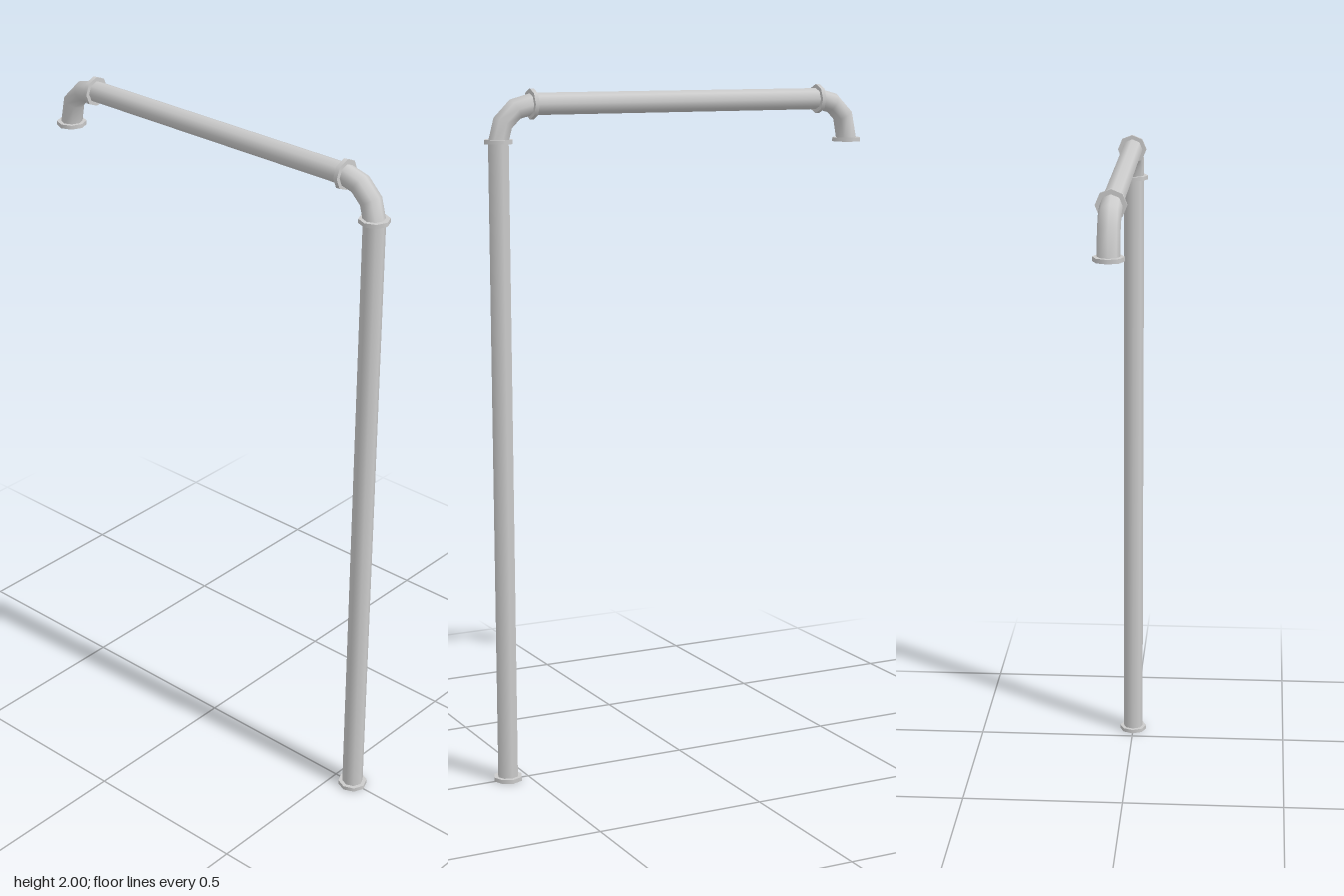
import * as THREE from 'three';

const SIDES = 8, PIPE_R = 0.031, FLANGE_R = 0.043, FLANGE_T = 0.012;
const BEND = 0.102;                       // elbow centreline radius
const LEG_Z = 0.564, TOP_Y = 1.957;       // pipe axes
const END_Z = LEG_Z - BEND, BEND_Y = TOP_Y - BEND;

export function createModel() {
  const group = new THREE.Group();
  const material = new THREE.MeshStandardMaterial({ color: 0xcccccc });

  const add = (name, geometry) => {
    const mesh = new THREE.Mesh(geometry, material);
    mesh.name = name;
    group.add(mesh);
    return mesh;
  };

  // Straight octagonal cylinder, upright or lying along z
  const cylinder = (name, radius, length, y, z, lying) => {
    const mesh = add(name, new THREE.CylinderGeometry(radius, radius, length, SIDES));
    mesh.position.set(0, y, z);
    if (lying) mesh.rotation.x = Math.PI / 2;
  };
  const flange = (name, y, z, lying) => cylinder(name, FLANGE_R, FLANGE_T, y, z, lying);

  // Quarter bend of three segments from horizontal to downward; drop lengthens its lower end
  const elbow = (name, dir, drop) => {
    const segments = 3, positions = [], index = [];
    for (let i = 0; i <= segments; i++) {
      const a = (i / segments) * Math.PI / 2;
      for (let j = 0; j <= SIDES; j++) {
        const t = (j / SIDES) * Math.PI * 2;
        const r = BEND + PIPE_R * Math.cos(t);
        const y = BEND_Y + r * Math.cos(a) - (i === segments ? drop : 0);
        positions.push(dir * PIPE_R * Math.sin(t), y, dir * (END_Z + r * Math.sin(a)));
      }
    }
    const row = SIDES + 1;
    for (let i = 0; i < segments; i++) {
      for (let j = 0; j < SIDES; j++) {
        const p = i * row + j;
        index.push(p, p + row, p + 1, p + 1, p + row, p + row + 1);
      }
    }
    const geometry = new THREE.BufferGeometry();
    geometry.setAttribute('position', new THREE.Float32BufferAttribute(positions, 3));
    geometry.setIndex(index);
    geometry.computeVertexNormals();
    // Share normals across the seam
    const n = geometry.attributes.normal;
    for (let i = 0; i <= segments; i++) {
      const a = i * row, b = a + SIDES;
      const v = new THREE.Vector3().fromBufferAttribute(n, a)
        .add(new THREE.Vector3().fromBufferAttribute(n, b)).normalize();
      n.setXYZ(a, v.x, v.y, v.z);
      n.setXYZ(b, v.x, v.y, v.z);
    }
    add(name, geometry);
  };

  // Upright pipe
  cylinder('uprightPipe', PIPE_R, BEND_Y, BEND_Y / 2, LEG_Z, false);
  flange('baseFlange', FLANGE_T / 2, LEG_Z, false);
  flange('uprightTopFlange', BEND_Y, LEG_Z, false);

  // Overhead pipe
  cylinder('overheadPipe', PIPE_R, END_Z * 2, TOP_Y, 0, true);
  flange('overheadFrontFlange', TOP_Y, END_Z, true);
  flange('overheadBackFlange', TOP_Y, -END_Z, true);

  // Bends and outlet
  const drop = 0.02;
  elbow('frontElbow', 1, 0);
  elbow('backElbow', -1, drop);
  flange('outletFlange', BEND_Y - drop, -LEG_Z, false);

  return group;
}
